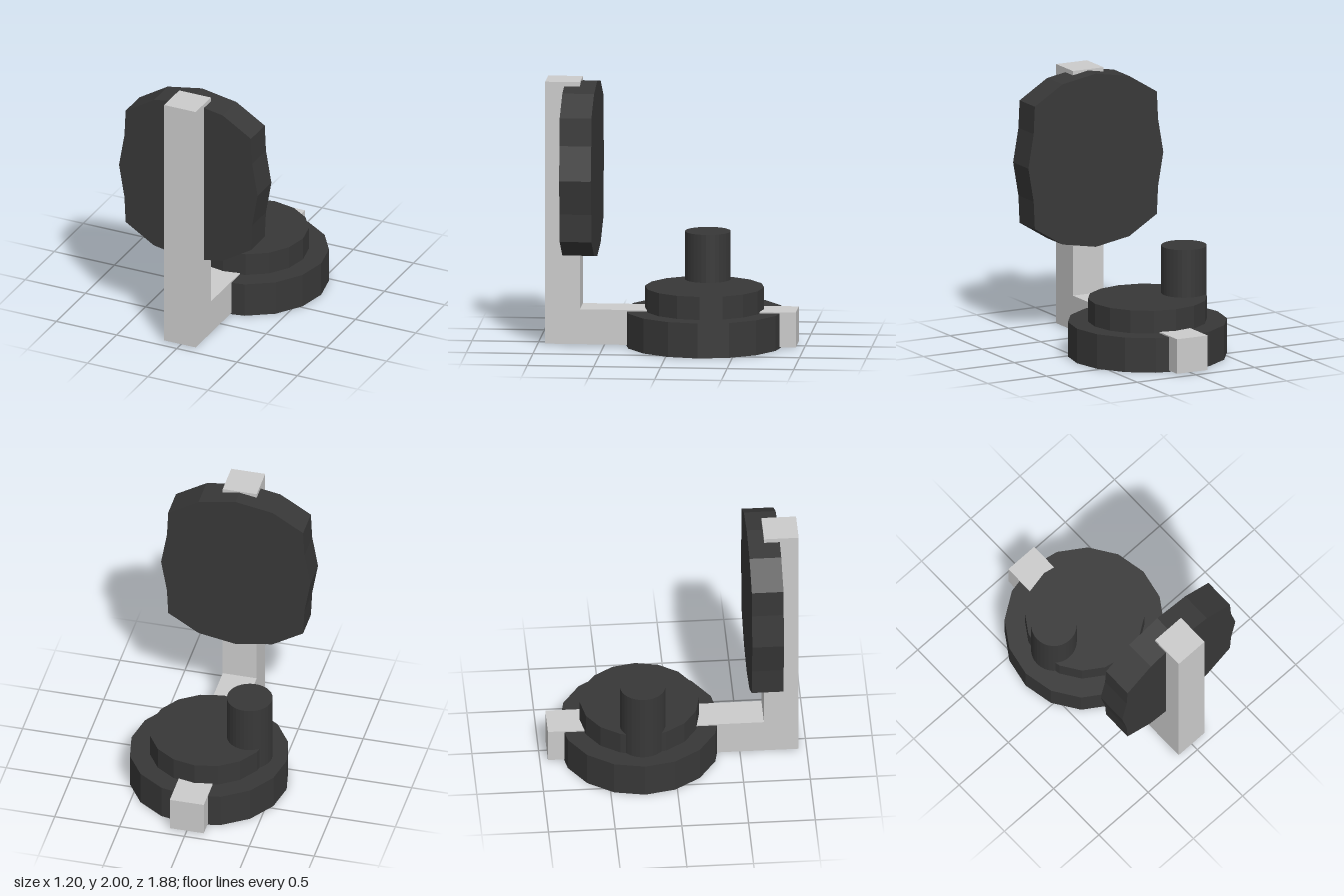
import * as THREE from 'three';

export function createModel() {
  const model = new THREE.Group();
  const grey = new THREE.MeshStandardMaterial({ color: 0xcccccc, flatShading: true });
  const dark = new THREE.MeshStandardMaterial({ color: 0x383838, flatShading: true });

  const add = (name, geometry, material, x, y, z) => {
    const mesh = new THREE.Mesh(geometry, material);
    mesh.name = name;
    mesh.position.set(x, y, z);
    model.add(mesh);
    return mesh;
  };
  // upright cylinder given by its bottom and top heights
  const drum = (name, r, y0, y1, sides, x, z) =>
    add(name, new THREE.CylinderGeometry(r, r, y1 - y0, sides), dark, x, (y0 + y1) / 2, z);
  // box of the frame's width given by its y and z ranges
  const beam = (name, y0, y1, z0, z1) =>
    add(name, new THREE.BoxGeometry(0.262, y1 - y0, z1 - z0), grey, -0.003, (y0 + y1) / 2, (z0 + z1) / 2);

  // L-shaped frame
  beam('post', 0.01, 2, 0.68, 0.94);
  beam('footBeam', 0.01, 0.275, -0.94, 0.68);

  // stepped base with an off-centre peg
  drum('baseDisc', 0.598, 0, 0.265, 16, 0, -0.245);
  drum('upperDisc', 0.447, 0.265, 0.44, 16, 0, -0.245);
  drum('peg', 0.171, 0.2, 0.805, 32, -0.313, -0.243);

  // upright faceted panel, outlined by one quadrant and mirrored
  const quadrant = [[0.575, 0], [0.53, 0.26], [0.52, 0.47], [0.285, 0.615], [0, 0.665]];
  const upper = [...quadrant, ...quadrant.slice(0, -1).reverse().map(([x, y]) => [-x, y])];
  const lower = upper.slice(1, -1).reverse().map(([x, y]) => [x, -y]);
  const outline = new THREE.Shape([...upper, ...lower].map(([x, y]) => new THREE.Vector2(x, y)));
  const panel = new THREE.ExtrudeGeometry(outline, { depth: 0.238, bevelEnabled: false });
  add('panel', panel, dark, -0.002, 1.325, 0.56);

  return model;
}
